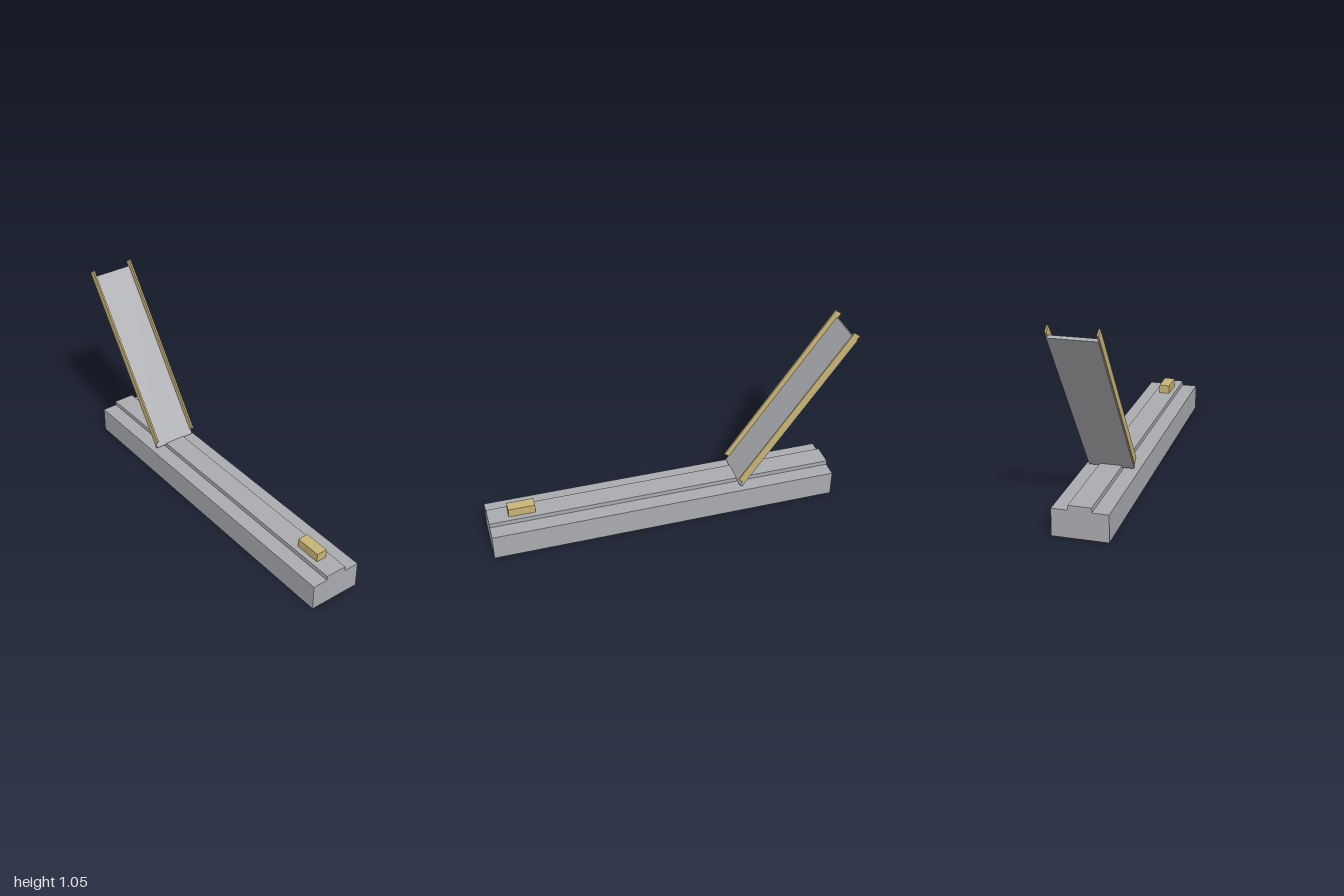
import * as THREE from 'three';

export function createModel() {
  const grey = new THREE.MeshStandardMaterial({ color: 0xaaabaf });
  grey.name = 'grey metal';
  const gold = new THREE.MeshStandardMaterial({ color: 0xc8b474 });
  gold.name = 'brass';

  const model = new THREE.Group();
  model.name = 'hingedTrack';

  // Box given by its minimum and maximum corners
  const box = (name, material, parent, [x0, y0, z0], [x1, y1, z1]) => {
    const mesh = new THREE.Mesh(new THREE.BoxGeometry(x1 - x0, y1 - y0, z1 - z0), material);
    mesh.position.set((x0 + x1) / 2, (y0 + y1) / 2, (z0 + z1) / 2);
    mesh.name = name;
    parent.add(mesh);
  };

  // Long stepped base, extruded along z
  const outline = [[-0.143, 0], [0.143, 0], [0.143, 0.143], [0.059, 0.143],
    [0.059, 0.168], [-0.059, 0.168], [-0.059, 0.143], [-0.143, 0.143]];
  const section = new THREE.Shape(outline.map(([x, y]) => new THREE.Vector2(x, y)));
  const base = new THREE.Mesh(
    new THREE.ExtrudeGeometry(section, { depth: 1.922, bevelEnabled: false }), grey);
  base.position.z = -0.922;
  base.name = 'base';
  model.add(base);

  // Small block near the front end
  box('frontBlock', gold, model, [-0.03, 0.168, 0.745], [0.03, 0.216, 0.89]);

  // Raised cover, leaning backwards, with a rail along each side
  const cover = new THREE.Group();
  cover.name = 'cover';
  cover.position.set(0, 0.205, -0.369);
  cover.rotation.x = -0.618;
  model.add(cover);
  box('coverPlate', grey, cover, [-0.12, -0.028, -0.049], [0.12, 1.001, -0.031]);
  box('leftRail', gold, cover, [0.115, 0, -0.04], [0.124, 1.031, 0]);
  box('rightRail', gold, cover, [-0.124, 0, -0.04], [-0.115, 1.031, 0]);

  return model;
}
